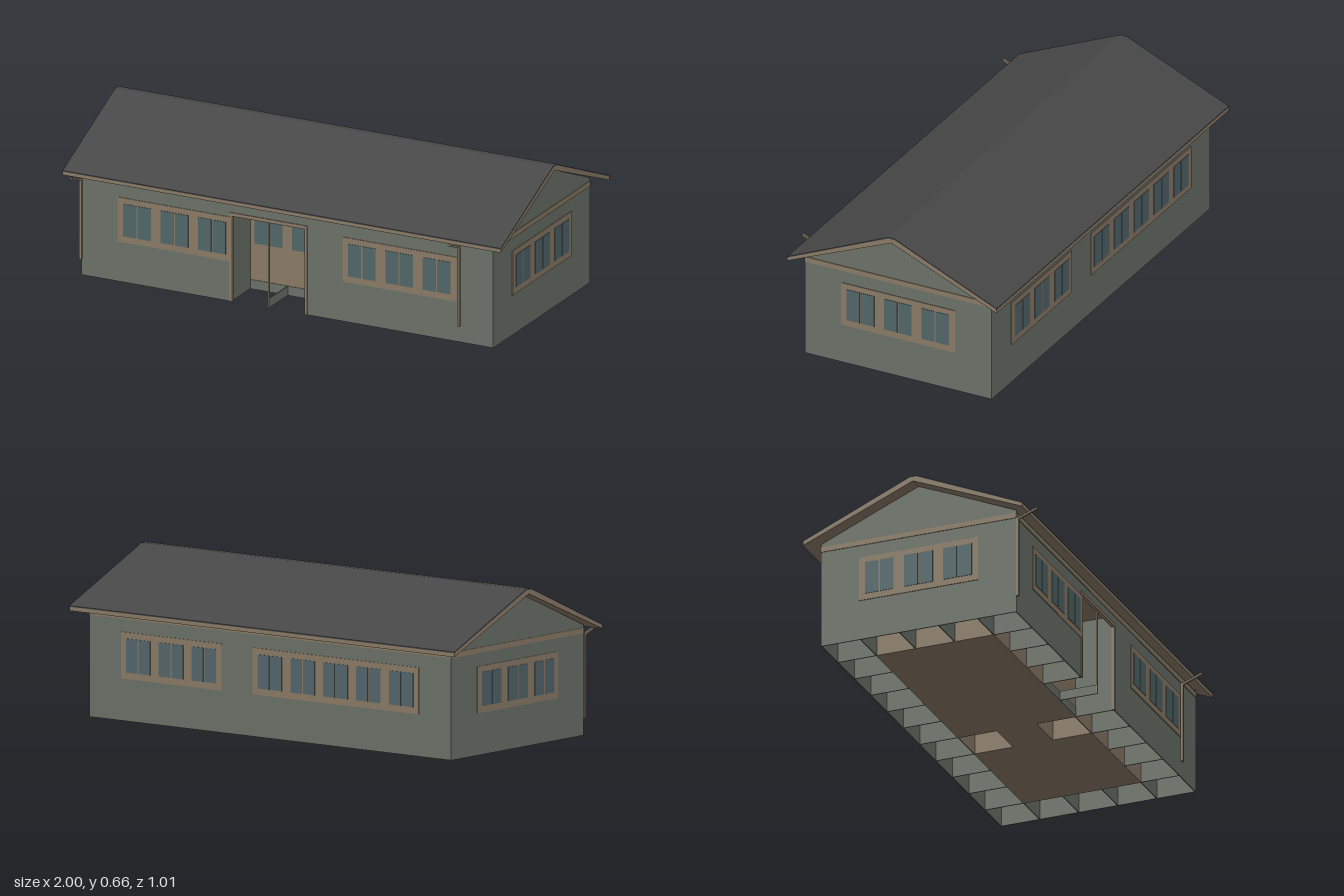
import * as THREE from 'three';

const mat = (name, color) => Object.assign(new THREE.MeshStandardMaterial({ color }), { name });

// Plan grid: 11 x 5 bays
const X0 = -0.94, ZF = 0.41, ZB = -0.45, CX = 1.88 / 11, CZ = 0.86 / 5, T = 0.004;
const bayX = (i) => X0 + i * CX;
const bayZ = (j) => ZF - j * CZ;

export function createModel() {
  const model = new THREE.Group();
  model.name = 'longHouse';
  const wall = mat('greyGreenWall', 0x6b7168);
  const trim = mat('tanTrim', 0x8a7a66);
  const roof = mat('charcoalRoof', 0x474747);
  const glass = mat('blueGlass', 0x52666a);

  const add = (parent, name, geo, m) => {
    const mesh = new THREE.Mesh(geo, m);
    mesh.name = name;
    parent.add(mesh);
    return mesh;
  };
  // Box given by its limits on each axis
  const box = (parent, name, m, xa, xb, ya, yb, za, zb) => {
    const b = add(parent, name, new THREE.BoxGeometry(Math.abs(xb - xa), Math.abs(yb - ya), Math.abs(zb - za)), m);
    b.position.set((xa + xb) / 2, (ya + yb) / 2, (za + zb) / 2);
    return b;
  };
  // Extrude a (z, y) profile along x
  const profile = (name, pts, xa, xb, m) => {
    const shape = new THREE.Shape(pts.map((p) => new THREE.Vector2(...p)));
    const geo = new THREE.ExtrudeGeometry(shape, { depth: xb - xa, bevelEnabled: false });
    geo.rotateY(-Math.PI / 2).translate(xb, 0, 0);
    return add(model, name, geo, m);
  };

  // Outer walls; the front one is split around the porch
  const P0 = bayX(4), P1 = bayX(6), top = 0.45;
  box(model, 'frontWallRight', wall, X0, P0, 0, top, ZF - T, ZF);
  box(model, 'frontWallLeft', wall, P1, -X0, 0, top, ZF - T, ZF);
  box(model, 'porchLintel', wall, P0, P1, 0.375, top, ZF - T, ZF);
  box(model, 'backWall', wall, X0, -X0, 0, top, ZB, ZB + T);
  const gable = [[ZF, 0], [ZF, 0.455], [-0.02, 0.64], [ZB, 0.455], [ZB, 0]];
  profile('rightGableWall', gable, X0, X0 + T, wall);
  profile('leftGableWall', gable, -X0 - T, -X0, wall);

  // Tan band under the eaves
  const e = 0.003;
  for (const s of [-1, 1]) box(model, 'gableBand', trim, s * 0.94, s * (0.94 + e), 0.42, 0.442, ZB, ZF);
  box(model, 'frontBand', trim, X0, -X0, 0.42, 0.442, ZF, ZF + e);
  box(model, 'backBand', trim, X0, -X0, 0.42, 0.442, ZB - e, ZB);

  // Window strip facing +z in its own frame: one double window per bay
  const windowStrip = (name, bays, pitch, x, z, turn, framed = true) => {
    const g = new THREE.Group();
    g.name = name;
    const w = bays * pitch;
    if (framed) box(g, 'windowSurround', trim, -w / 2 - 0.004, w / 2 + 0.004, 0.173, 0.365, 0, 0.003);
    for (let i = 0; i < bays; i++) {
      const c = (i + 0.5) * pitch - w / 2;
      for (const s of [-1, 1]) box(g, 'windowPane', glass, c + s * 0.003, c + s * 0.063, 0.2, 0.34, 0.001, 0.005);
    }
    g.position.set(x, 0, z);
    g.rotation.y = turn;
    model.add(g);
  };
  windowStrip('frontRightWindows', 3, CX, bayX(2.5), ZF, 0);
  windowStrip('frontLeftWindows', 3, CX, bayX(8.5), ZF, 0);
  windowStrip('backLeftWindows', 3, CX, bayX(8.5), ZB, Math.PI);
  windowStrip('backRightWindows', 5, CX, bayX(3.5), ZB, Math.PI);
  windowStrip('leftEndWindows', 3, CZ, -X0, bayZ(2.5), Math.PI / 2);
  windowStrip('rightEndWindows', 3, CZ, X0, bayZ(2.5), -Math.PI / 2);
  windowStrip('porchWindows', 2, CX, bayX(5), bayZ(1) + 0.002, 0, false);

  // Porch frame, post and low sills
  for (const [a, b] of [[P0 - 0.006, P0 + 0.006], [P1 - 0.006, P1 + 0.006]])
    box(model, 'porchJamb', trim, a, b, 0, 0.385, ZF - 0.01, ZF + 0.004);
  box(model, 'porchHead', trim, P0, P1, 0.37, 0.385, ZF - 0.01, ZF + 0.004);
  box(model, 'porchPost', trim, bayX(5) - 0.003, bayX(5) + 0.003, 0, 0.375, ZF - 0.008, ZF - 0.002);
  box(model, 'porchDivider', wall, bayX(5) - 0.002, bayX(5) + 0.002, 0, 0.04, bayZ(1), ZF - 0.008);
  box(model, 'porchBackSill', wall, P0, P1, 0, 0.04, bayZ(1) + 0.002, bayZ(1) + 0.005);

  // Inner floor and the partitions around the open bays
  const ring = (i, j) => i === 0 || i === 10 || j === 0 || j === 4;
  const open = (i, j) => ring(i, j) || (i === 6 && (j === 1 || j === 3));
  const partition = (i, j, k, l) => {
    if (!open(i, j) && !open(k, l)) return;
    if (j === 0 && i === 4 && k === 5) return;
    const m = ring(i, j) && ring(k, l) ? wall : trim;
    if (k > i) box(model, 'partition', m, bayX(k) - 0.002, bayX(k) + 0.002, 0, 0.42, bayZ(j), bayZ(j + 1));
    else box(model, 'partition', m, bayX(i), bayX(i + 1), 0, 0.42, bayZ(l) - 0.002, bayZ(l) + 0.002);
  };
  for (let i = 0; i < 11; i++) {
    for (let j = 0; j < 5; j++) {
      if (!open(i, j)) box(model, 'floorPanel', trim, bayX(i), bayX(i + 1), 0, T, bayZ(j), bayZ(j + 1));
      if (i < 10) partition(i, j, i + 1, j);
      if (j < 4) partition(i, j, i, j + 1);
    }
  }
  box(model, 'ceiling', trim, X0 + T, -X0 - T, 0.42, 0.424, ZB + T, ZF - T);

  // Roof: tan slab with a thin dark covering
  const crest = [[0.46, 0.452], [-0.005, 0.655], [-0.035, 0.655], [-0.505, 0.452]];
  profile('roofSlab', [[0.46, 0.438], [0.46, 0.438 + 0.014], ...crest.slice(1), [-0.505, 0.436], [-0.02, 0.638]], -1, 1, trim);
  profile('roofCovering', [...crest, ...crest.map(([z, y]) => [z, y + 0.005]).reverse()], -1, 1, roof);

  // Downpipes with a slanted spout at the eave
  for (const x of [-0.94, 0.785]) {
    const r = 0.005;
    box(model, 'downpipe', trim, x - r, x + r, 0.07, 0.42, ZF, ZF + 0.011);
    const spout = add(model, 'spout', new THREE.BoxGeometry(0.01, 0.008, 0.09), trim);
    spout.position.set(x, 0.431, 0.461);
    spout.rotation.x = -0.37;
  }
  return model;
}
